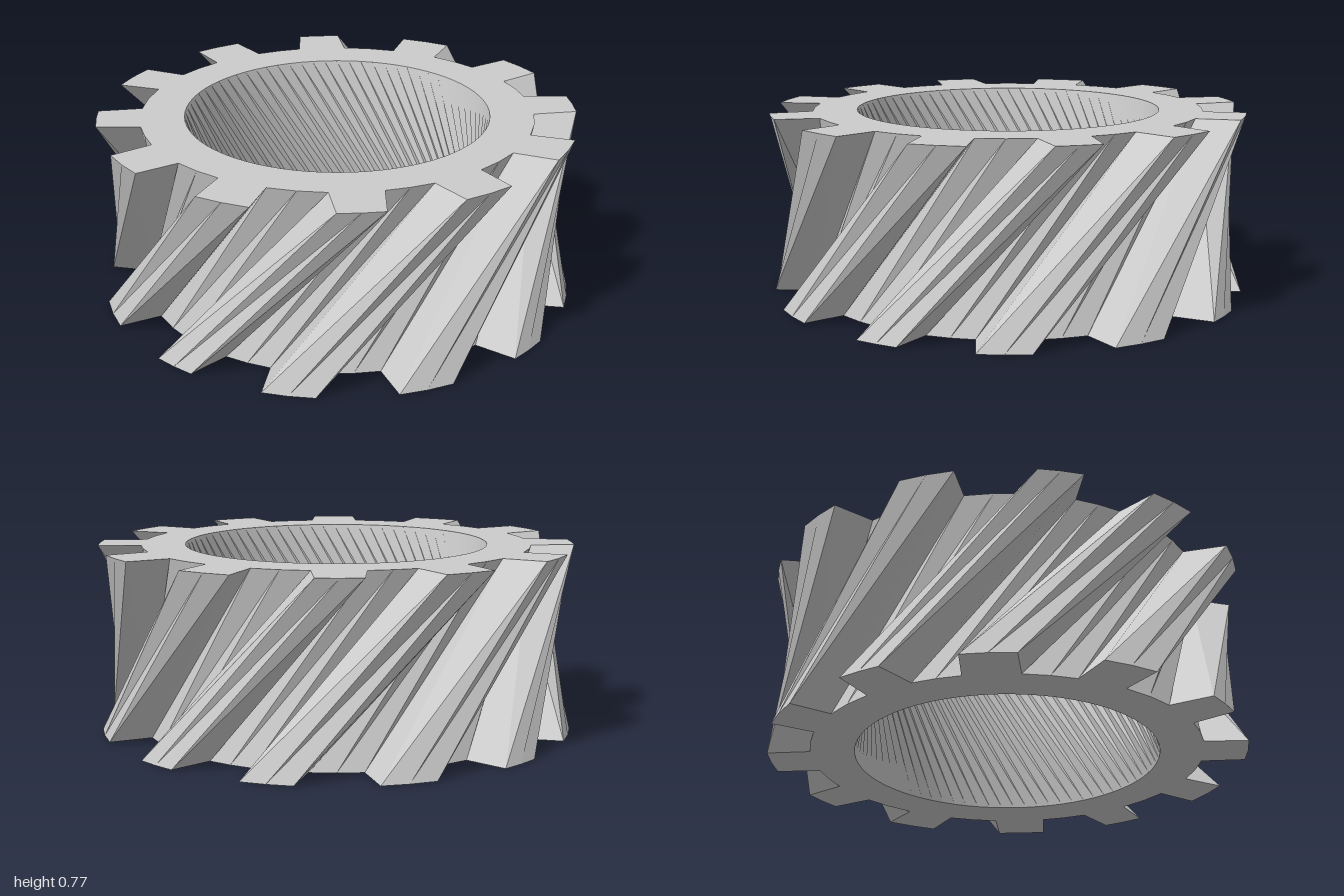
import * as THREE from 'three';

const HEIGHT = 0.775, TWIST = Math.PI / 4;
const OUTER = 1, ROOT = 0.82, BORE = 0.636, BORE_SIDES = 72;

// Tooth angles in degrees over one quarter: [root start, tip start, tip end, root end]
const TEETH = [
  [-7.6, -5.5, 5.0, 7.1],
  [21.0, 22.8, 35.0, 36.6],
  [51.6, 53.4, 66.2, 66.0],
];

const polar = (r, a) => new THREE.Vector2(r * Math.cos(a), r * Math.sin(a));

// Counter-clockwise outline of the toothed rim
function rimOutline() {
  const pts = [];
  const add = (r, deg) => pts.push(polar(r, THREE.MathUtils.degToRad(deg)));
  for (let q = 0; q < 4; q++) {
    TEETH.forEach(([r0, t0, t1, r1], i) => {
      const base = q * 90;
      const next = i < 2 ? TEETH[i + 1][0] : TEETH[0][0] + 90;
      add(ROOT, base + r0);
      add(OUTER, base + t0);
      add(OUTER, base + (t0 + t1) / 2);
      add(OUTER, base + t1);
      add(ROOT, base + r1);
      add(ROOT, base + (r1 + next) / 2); // middle of the gap floor
    });
  }
  return pts;
}

// Place an outline point on the top or the twisted bottom face
function place(p, top) {
  const q = top ? p : p.clone().rotateAround(new THREE.Vector2(), -TWIST);
  return [q.x, top ? HEIGHT : 0, -q.y];
}

function toMesh(name, positions) {
  const geo = new THREE.BufferGeometry();
  geo.setAttribute('position', new THREE.Float32BufferAttribute(positions, 3));
  geo.computeVertexNormals();
  const mat = new THREE.MeshStandardMaterial({ color: 0xcccccc, flatShading: true });
  const mesh = new THREE.Mesh(geo, mat);
  mesh.name = name;
  return mesh;
}

// Straight-ruled wall joining the bottom outline to the top one
function twistedWall(name, pts, inward) {
  const out = [];
  const tri = (a, b, c) => out.push(...a, ...(inward ? c : b), ...(inward ? b : c));
  pts.forEach((p, i) => {
    const n = pts[(i + 1) % pts.length];
    const b0 = place(p, false), b1 = place(n, false);
    const t0 = place(p, true), t1 = place(n, true);
    tri(b0, b1, t0);
    tri(b1, t1, t0);
  });
  return toMesh(name, out);
}

// Flat end face with the bore cut out
function endFace(name, rim, bore, top) {
  const hole = [...bore].reverse();
  const all = [...rim, ...hole];
  const out = [];
  for (const [a, b, c] of THREE.ShapeUtils.triangulateShape([...rim], [hole])) {
    for (const i of top ? [a, b, c] : [a, c, b]) out.push(...place(all[i], top));
  }
  return toMesh(name, out);
}

export function createModel() {
  const group = new THREE.Group();
  group.name = 'helicalGearRing';
  const rim = rimOutline();
  const bore = Array.from({ length: BORE_SIDES }, (_, i) => polar(BORE, (i / BORE_SIDES) * Math.PI * 2));
  group.add(
    twistedWall('helicalTeeth', rim, false),
    twistedWall('bore', bore, true),
    endFace('topFace', rim, bore, true),
    endFace('bottomFace', rim, bore, false),
  );
  return group;
}
